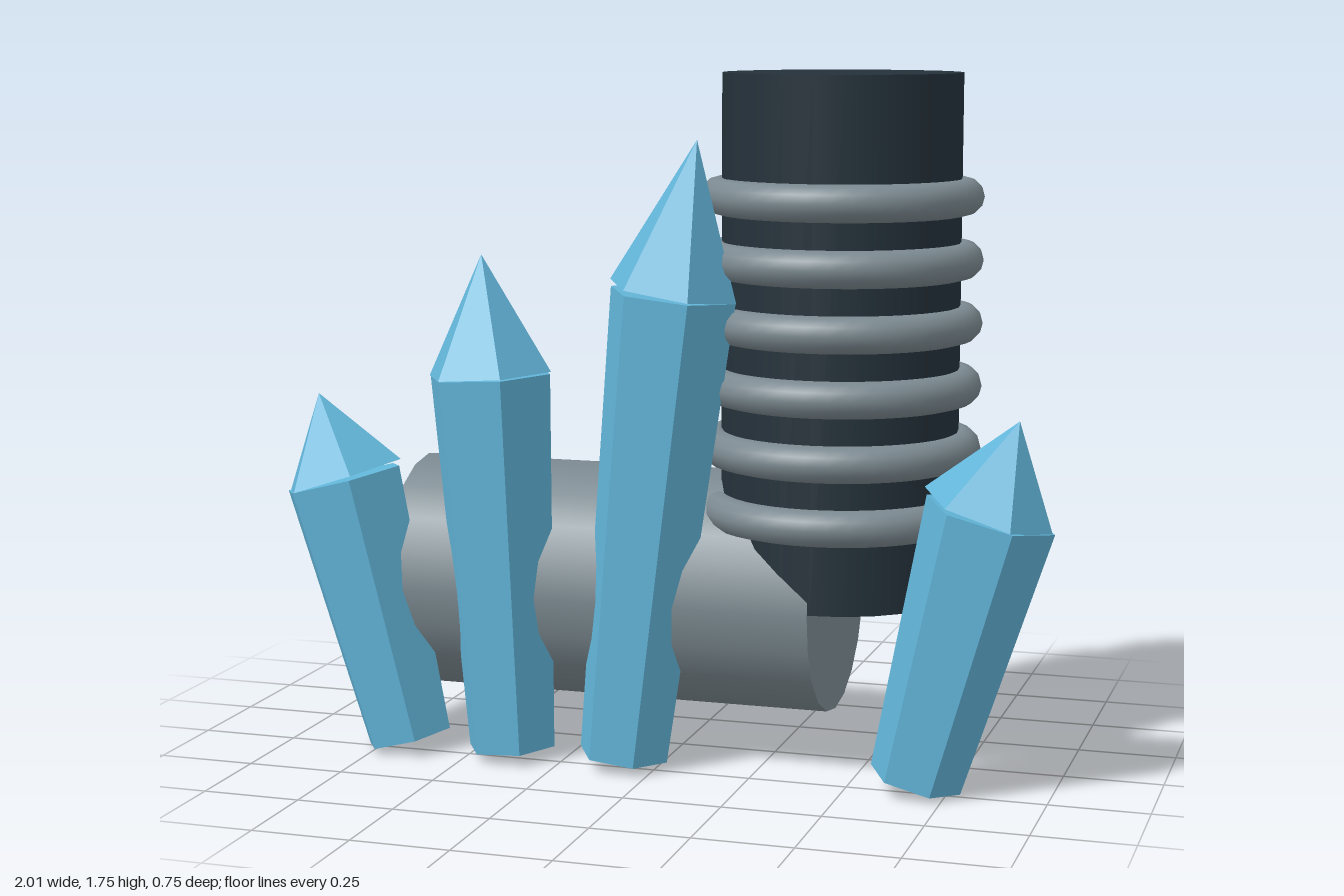
import * as THREE from 'three';

function mat(name, color, flatShading = false) {
  const m = new THREE.MeshStandardMaterial({ color, flatShading });
  m.name = name;
  return m;
}

export function createModel() {
  const group = new THREE.Group();
  group.name = 'crystalPipes';
  const dark = mat('dark slate', 0x24313a);
  const grey = mat('steel grey', 0x7b8990);
  const blue = mat('crystal blue', 0x62b5d9, true);
  const pipeX = 0.41, pipeZ = -0.02;

  const add = (name, geometry, material, parent = group) => {
    const mesh = new THREE.Mesh(geometry, material);
    mesh.name = name;
    parent.add(mesh);
    return mesh;
  };

  // Upright pipe
  add('uprightPipe', new THREE.CylinderGeometry(0.3, 0.3, 1.315, 24), dark)
    .position.set(pipeX, 1.0975, pipeZ);

  // Rings stacked around the upright pipe
  for (let i = 0; i < 6; i++) {
    const ring = add('ring' + (i + 1), new THREE.TorusGeometry(0.309, 0.046, 12, 40), grey);
    ring.rotation.x = Math.PI / 2;
    ring.position.set(pipeX, 0.66 + i * 0.158, pipeZ);
  }

  // Lying pipe that ends inside the upright one
  const lying = add('lyingPipe', new THREE.CylinderGeometry(0.305, 0.305, 1.12, 20), grey);
  lying.rotation.z = Math.PI / 2;
  lying.position.set(-0.155, 0.435, pipeZ);

  // Six-sided piece running from point a to point b in the front plane
  const hexPiece = (name, a, b, rBottom, rTop, parent) => {
    const dx = b[0] - a[0], dy = b[1] - a[1];
    const geo = new THREE.CylinderGeometry(rTop, rBottom, Math.hypot(dx, dy), 6, 1, false, Math.PI / 2);
    const mesh = add(name, geo, blue, parent);
    mesh.position.set((a[0] + b[0]) / 2, (a[1] + b[1]) / 2, 0.23);
    mesh.rotation.z = Math.atan2(-dx, dy);
  };

  // Leaning crystals: foot, shoulder, tip base, tip
  const crystals = [
    [[-0.675, 0.035], [-0.85, 0.708], [-0.845, 0.715], [-0.915, 0.928]],
    [[-0.39, 0.033], [-0.44, 0.995], [-0.44, 0.998], [-0.46, 1.3]],
    [[-0.087, 0.035], [0.045, 1.213], [0.045, 1.222], [0.107, 1.595]],
    [[0.67, 0.035], [0.845, 0.708], [0.84, 0.717], [0.912, 0.938]],
  ];
  crystals.forEach(([foot, shoulder, tipBase, tip], i) => {
    const crystal = new THREE.Group();
    crystal.name = 'crystal' + (i + 1);
    group.add(crystal);
    hexPiece('crystalShaft', foot, shoulder, 0.116, 0.162, crystal);
    hexPiece('crystalTip', tipBase, tip, 0.165, 0, crystal);
  });

  return group;
}
